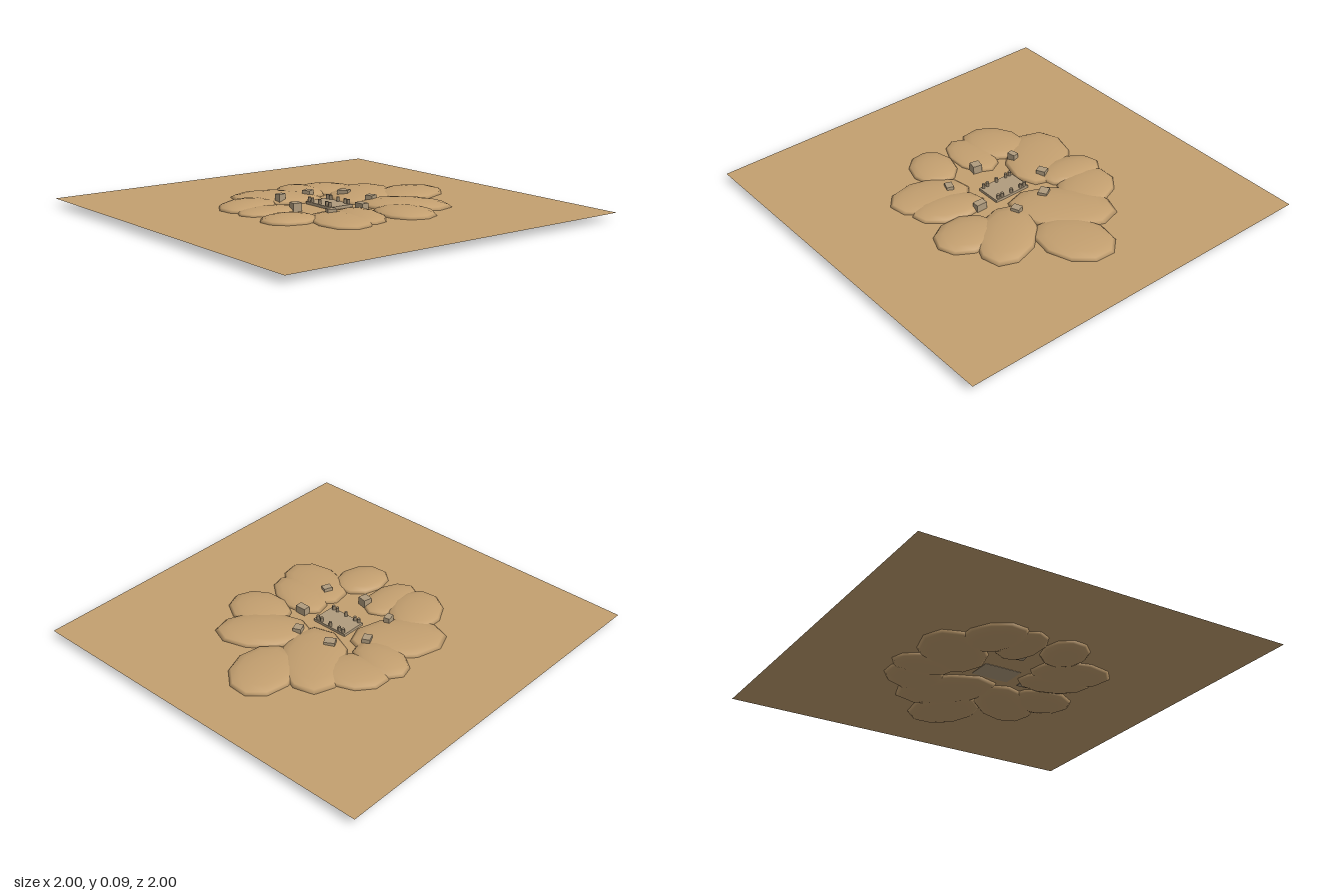
import * as THREE from 'three';

export function createModel() {
  const root = new THREE.Group();
  root.name = 'desertRuin';
  const sand = new THREE.MeshStandardMaterial({ color: 0xc4a070, side: THREE.DoubleSide });
  sand.name = 'sand';
  const stone = new THREE.MeshStandardMaterial({ color: 0xb09c7e });
  stone.name = 'paleStone';
  const darkStone = new THREE.MeshStandardMaterial({ color: 0x94836a });
  darkStone.name = 'wornStone';
  const GROUND = 0.037;

  function add(name, geometry, material, x, y, z, turn = 0) {
    const mesh = new THREE.Mesh(geometry, material);
    mesh.name = name;
    mesh.position.set(x, y, z);
    mesh.rotation.y = turn;
    root.add(mesh);
    return mesh;
  }

  // Flat desert floor
  const floor = new THREE.PlaneGeometry(2, 2);
  floor.rotateX(-Math.PI / 2);
  add('desertFloor', floor, sand, 0, GROUND, 0);

  // Ring of flattened dunes: x, z, long radius, short radius, turn, height
  const dunes = [
    [0.53, 0, 0.21, 0.165, 0.35, 0.031],
    [0.305, -0.12, 0.27, 0.17, 0.75, 0.034],
    [0.25, -0.325, 0.18, 0.14, -1.2, 0.03],
    [0.09, -0.36, 0.17, 0.115, 1.4, 0.034],
    [-0.1, -0.31, 0.24, 0.17, -0.75, 0.031],
    [-0.34, -0.22, 0.18, 0.14, 0.5, 0.034],
    [-0.33, -0.06, 0.17, 0.11, 0, 0.025],
    [-0.365, 0.165, 0.148, 0.122, -0.3, 0.033],
    [-0.18, 0.325, 0.21, 0.145, 1.3, 0.028],
    [-0.05, 0.31, 0.19, 0.115, 1.3, 0.03],
    [0.177, 0.375, 0.175, 0.143, 1.57, 0.034],
    [0.3, 0.23, 0.24, 0.15, -0.85, 0.037],
  ];
  const mound = new THREE.SphereGeometry(1, 10, 8);
  for (const [x, z, long, short, turn, height] of dunes) {
    add('dune', mound, sand, x, GROUND, z, turn).scale.set(long, height, short);
  }

  // Scattered blocks around the clearing: x, z, width, depth, turn, top
  const blocks = [
    [-0.16, -0.193, 0.045, 0.032, 0.2, 0.086],
    [0.035, -0.222, 0.048, 0.042, 0.45, 0.078],
    [0.18, -0.108, 0.046, 0.056, 0.55, 0.08],
    [0.2, 0.085, 0.046, 0.042, 0.4, 0.08],
    [0.052, 0.195, 0.038, 0.058, 0, 0.076],
    [-0.158, 0.222, 0.045, 0.037, -0.35, 0.077],
    [-0.212, 0.008, 0.046, 0.048, -0.2, 0.08],
  ];
  for (const [x, z, w, d, turn, top] of blocks) {
    const h = top - GROUND + 0.004;
    add('ruinBlock', new THREE.BoxGeometry(w, h, d), stone, x, top - h / 2, z, turn);
  }

  // Temple platform with column stumps along both long sides
  add('platform', new THREE.BoxGeometry(0.135, 0.016, 0.205), stone, 0, GROUND + 0.006, 0);
  const column = new THREE.CylinderGeometry(0.008, 0.009, 0.026, 8);
  for (const side of [-1, 1]) {
    for (const z of [-0.085, -0.06, 0, 0.058, 0.083]) {
      add('columnStump', column, darkStone, side * 0.058, GROUND + 0.024, z);
    }
  }
  return root;
}
